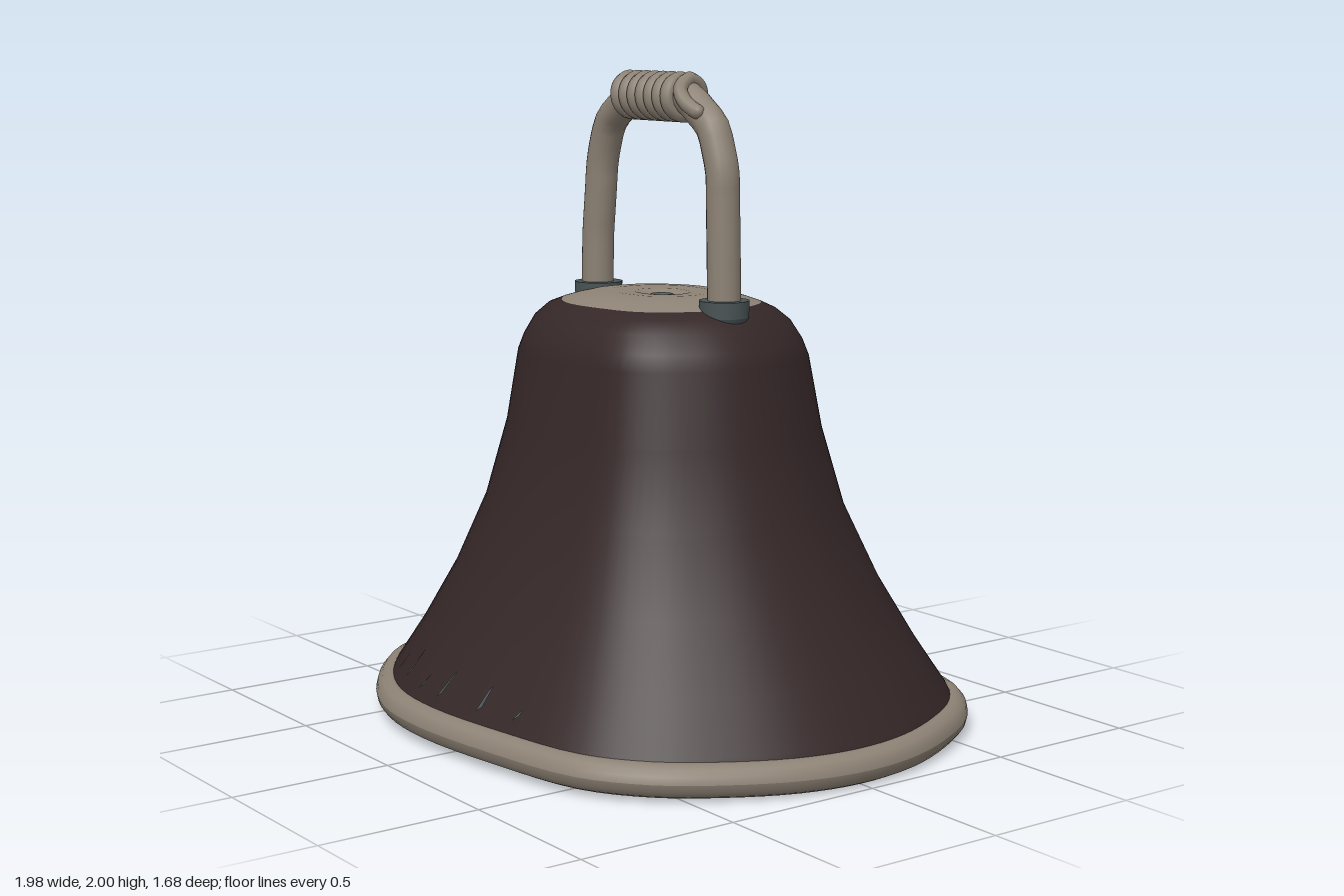
import * as THREE from 'three';

const material = (name, color) => {
  const m = new THREE.MeshStandardMaterial({ color, side: THREE.DoubleSide });
  m.name = name;
  return m;
};

// Lopsided oval outline shared by every level of the bell (half is mirrored in z)
const HALF = [[-1, 0], [-0.98, -0.28], [-0.88, -0.55], [-0.61, -0.82], [-0.36, -0.96], [-0.1, -1],
  [0.25, -0.96], [0.58, -0.87], [0.76, -0.71], [0.88, -0.5], [0.97, -0.25], [1, 0]];
const RING = [...HALF, ...HALF.slice(1, -1).reverse().map(([u, v]) => [u, -v])];
const OUTLINE = new THREE.CatmullRomCurve3(
  RING.map(([u, v]) => new THREE.Vector3(u, 0, v)), true).getPoints(88).slice(0, -1);

// Bell wall: height, left edge, right edge, half depth
const WALL = [[0.07, -0.955, 0.945, 0.81], [0.12, -0.93, 0.925, 0.785], [0.26, -0.835, 0.825, 0.7],
  [0.45, -0.72, 0.7, 0.6], [0.68, -0.61, 0.58, 0.505], [0.92, -0.54, 0.51, 0.44],
  [1.14, -0.5, 0.465, 0.405], [1.19, -0.475, 0.44, 0.39], [1.245, -0.44, 0.4, 0.36],
  [1.28, -0.4, 0.355, 0.32], [1.3, -0.345, 0.305, 0.28]];

const section = ([y, l, r, h]) =>
  OUTLINE.map(p => [(l + r) / 2 + p.x * (r - l) / 2, y, p.z * h]);

// Skin a stack of closed rings
function loft(rings) {
  const n = rings[0].length, index = [];
  for (let i = 0; i < rings.length - 1; i++) {
    for (let j = 0; j < n; j++) {
      const a = i * n + j, b = i * n + (j + 1) % n, c = a + n, d = b + n;
      index.push(a, c, b, b, c, d);
    }
  }
  const g = new THREE.BufferGeometry();
  g.setAttribute('position', new THREE.Float32BufferAttribute(rings.flat(2), 3));
  g.setIndex(index);
  g.computeVertexNormals();
  return g;
}

// Front wall depth at a given x and y
function frontZ(x, y) {
  const i = Math.max(1, WALL.findIndex(w => w[0] >= y));
  const [a, b] = [WALL[i - 1], WALL[i]], t = (y - a[0]) / (b[0] - a[0]);
  const pts = section(a.map((v, k) => v + (b[k] - v) * t)).filter(p => p[2] >= 0).sort((p, q) => p[0] - q[0]);
  const j = pts.findIndex(p => p[0] >= x), [p, q] = [pts[j - 1], pts[j]];
  return p[2] + (q[2] - p[2]) * (x - p[0]) / (q[0] - p[0]);
}

export function createModel() {
  const bell = new THREE.Group();
  bell.name = 'bell';
  const brown = material('dark brown', 0x352728);
  const beige = material('warm beige', 0x8d8275);
  const grey = material('slate grey', 0x4a5456);
  const add = (name, geometry, mat, x = 0, y = 0, z = 0) => {
    const m = new THREE.Mesh(geometry, mat);
    m.name = name;
    m.position.set(x, y, z);
    bell.add(m);
    return m;
  };

  // Outer wall and grey lining
  add('outerWall', loft(WALL.map(section)), brown);
  const lining = WALL.map(([y, l, r, h]) => [y - 0.02, l + 0.035, r - 0.035, h - 0.035]);
  lining.push([1.285, -0.01, 0.01, 0.01]);
  add('innerLining', loft(lining.map(section).reverse()), grey);

  // Gently wavy rolled rim
  const rim = [];
  for (let k = 0; k <= 14; k++) {
    const a = k / 14 * Math.PI * 2, o = 0.05 * Math.cos(a);
    rim.push(OUTLINE.map(p => [
      p.x * (0.94 + o),
      0.055 + 0.01 * (1 - p.x * p.x) + 0.006 * p.z + 0.05 * Math.sin(a),
      p.z * (0.79 + o)]));
  }
  add('rim', loft(rim), beige);

  // Crown plate with a dimple for the clapper rod
  const crown = [[1.3, 1], [1.314, 0.86], [1.326, 0.7], [1.33, 0.5], [1.328, 0.28], [1.318, 0.18], [1.298, 0.11], [1.285, 0.02]];
  add('crownPlate', loft(crown.map(([y, s]) => section([y, -0.345 * s, 0.305 * s, 0.28 * s]))), beige);
  const knot = add('rodRing', new THREE.TorusGeometry(0.032, 0.013, 8, 20), grey, -0.01, 1.308, 0);
  knot.rotation.x = Math.PI / 2;

  // Clapper
  add('clapperRod', new THREE.CylinderGeometry(0.014, 0.014, 0.88, 10), grey, 0, 0.86, 0);
  add('clapperBall', new THREE.SphereGeometry(0.09, 24, 16), beige, 0, 0.36, 0);
  add('clapperTip', new THREE.SphereGeometry(0.025, 12, 8), beige, 0, 0.275, 0);

  // Handle sockets
  const cup = [[0, -0.12], [0.035, -0.11], [0.06, -0.085], [0.074, -0.05], [0.074, -0.05], [0.076, 0], [0.076, 0], [0.04, 0]];
  for (const [name, x] of [['leftSocket', 0.305], ['rightSocket', -0.35]]) {
    add(name, new THREE.LatheGeometry(cup.map(p => new THREE.Vector2(...p)), 24), grey, x, 1.33, 0);
  }

  // Bent handle
  const bend = [[-0.355, 1.27], [-0.352, 1.47], [-0.322, 1.74], [-0.27, 1.855], [-0.16, 1.92],
    [0, 1.925], [0.13, 1.92], [0.24, 1.85], [0.293, 1.73], [0.3, 1.5], [0.305, 1.27]];
  const path = new THREE.CurvePath();
  const bent = bend.map(([x, y]) => new THREE.Vector3(x, y, 0));
  bent.slice(1).forEach((p, i) => path.add(new THREE.LineCurve3(bent[i], p)));
  const smooth = new THREE.CatmullRomCurve3(path.getSpacedPoints(24));
  add('handle', new THREE.TubeGeometry(smooth, 48, 0.051, 16), beige);

  // Wire wound round the grip, with a loose tail
  const turns = 7, coil = [];
  for (let i = 0; i <= turns * 16; i++) {
    const a = i / 16 * Math.PI * 2;
    coil.push(new THREE.Vector3(-0.175 + 0.3 * i / (turns * 16), 1.923 + 0.054 * Math.cos(a), 0.054 * Math.sin(a)));
  }
  coil.push(new THREE.Vector3(0.145, 1.945, 0.045), new THREE.Vector3(0.18, 1.91, 0.05), new THREE.Vector3(0.225, 1.885, 0.042));
  add('gripWire', new THREE.TubeGeometry(new THREE.CatmullRomCurve3(coil), 320, 0.023, 8), beige);
  add('wireEndTail', new THREE.SphereGeometry(0.023, 10, 8), beige, 0.225, 1.885, 0.042);
  add('wireEndStart', new THREE.SphereGeometry(0.023, 10, 8), beige, -0.175, 1.977, 0);

  // Slanted scratches on the front: x, bottom, top, lean
  const scratches = [[-0.455, 0.15, 0.21, 0.035], [-0.34, 0.155, 0.25, 0.04], [-0.215, 0.15, 0.2, 0.025],
    [-0.1, 0.15, 0.235, 0.035], [0.1, 0.15, 0.225, 0.015], [0.258, 0.155, 0.19, 0.01]];
  for (const [x, y0, y1, lean] of scratches) {
    const ring = [[x, y0], [x + 0.02, y0 + 0.015], [x + lean + 0.012, y1], [x + lean, y1 - 0.015]];
    const g = new THREE.BufferGeometry();
    g.setAttribute('position', new THREE.Float32BufferAttribute(
      ring.flatMap(([px, py]) => [px, py, frontZ(px, py) + 0.006]), 3));
    g.setIndex([0, 1, 2, 0, 2, 3]);
    g.computeVertexNormals();
    add('scratch', g, grey);
  }
  return bell;
}
